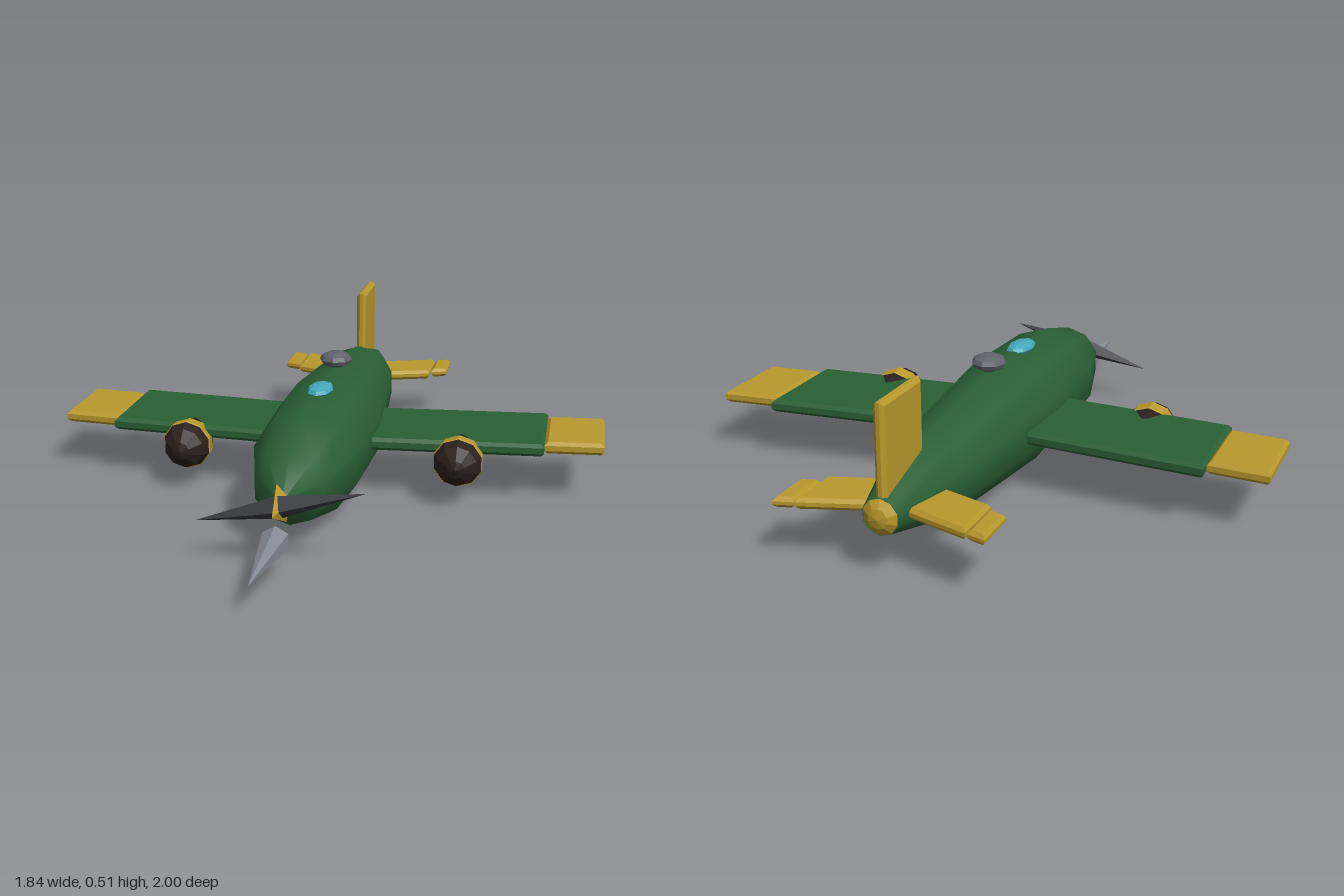
import * as THREE from 'three';

const mat = (color, flatShading = true) =>
  new THREE.MeshStandardMaterial({ color, flatShading, side: THREE.DoubleSide });

const green = mat(0x2a6035, false);
const greenFlat = mat(0x2a6035);
const gold = mat(0xb8982c);
const dark = mat(0x2b201d);
const steel = mat(0x3a3a42);
const grey = mat(0x60636c);
const silver = mat(0x868a95);
const glass = mat(0x45a9ba);

function add(parent, name, geometry, material, x = 0, y = 0, z = 0) {
  const mesh = new THREE.Mesh(geometry, material);
  mesh.name = name;
  mesh.position.set(x, y, z);
  parent.add(mesh);
  return mesh;
}

// Body of revolution along z, from [z, radius] pairs ordered back to front
function spindle(profile, sides) {
  const points = profile.map(([z, r]) => new THREE.Vector2(r, z));
  return new THREE.LatheGeometry(points, sides).rotateX(Math.PI / 2);
}

// Plate with chamfered edges, centred on its thickness
function plate(corners, thickness, bevel) {
  const shape = new THREE.Shape(corners.map(([a, b]) => new THREE.Vector2(a, b)));
  const depth = thickness - 2 * bevel;
  return new THREE.ExtrudeGeometry(shape, {
    depth, bevelThickness: bevel, bevelSize: bevel, bevelOffset: -bevel, bevelSegments: 1,
  }).translate(0, 0, -depth / 2);
}

// Horizontal swept panel: back and front z at the root and at the tip
function panel(side, x0, back0, front0, x1, back1, front1, thickness) {
  return plate([
    [side * x0, -back0], [side * x0, -front0], [side * x1, -front1], [side * x1, -back1],
  ], thickness, 0.011).rotateX(-Math.PI / 2);
}

export function createModel() {
  const model = new THREE.Group();
  model.name = 'airplane';
  const axisY = 0.19;

  // Fuselage and tail cap
  add(model, 'fuselage', spindle([
    [-0.97, 0.055], [-0.68, 0.135], [-0.1, 0.185], [0.28, 0.172], [0.5, 0.112], [0.597, 0],
  ], 10), green, 0, axisY, 0);
  add(model, 'tailCap', spindle([[-0.992, 0], [-0.985, 0.03], [-0.965, 0.056]], 10),
    gold, 0, axisY, 0);

  // Canopy and roof turret
  add(model, 'canopy', new THREE.SphereGeometry(1, 8, 6).scale(0.042, 0.02, 0.077),
    glass, 0, 0.367, 0.04);
  add(model, 'turret', new THREE.SphereGeometry(1, 8, 6).scale(0.056, 0.028, 0.056),
    grey, 0, 0.398, -0.228);

  // Upright tail fin
  add(model, 'tailFin', plate([
    [-0.965, 0.19], [-0.73, 0.19], [-0.73, 0.515], [-0.965, 0.515],
  ], 0.034, 0.011).rotateY(-Math.PI / 2), gold);

  // Propeller: one long faceted blade, tilted, and its spinner
  const propeller = new THREE.Group();
  propeller.name = 'propeller';
  propeller.position.set(0, axisY, 0.64);
  propeller.rotation.z = 0.235;
  add(propeller, 'blades', new THREE.OctahedronGeometry(1).scale(0.26, 0.035, 0.047), steel);
  add(propeller, 'spinner',
    new THREE.ConeGeometry(0.06, 0.12, 4).rotateX(Math.PI / 2).scale(0.5, 1, 1),
    gold, 0, 0, 0.025);
  model.add(propeller);

  // Nose spike
  add(model, 'noseSpike', new THREE.ConeGeometry(0.044, 0.315, 6).rotateX(Math.PI / 2),
    silver, 0, 0.107, 0.8425);

  for (const side of [1, -1]) {
    const label = side > 0 ? 'left' : 'right';

    // Wing with separate tip
    add(model, label + 'Wing',
      panel(side, 0.1, -0.3, 0.05, 0.727, -0.352, 0.004, 0.042), greenFlat, 0, axisY, 0);
    add(model, label + 'WingTip',
      panel(side, 0.727, -0.315, -0.028, 0.918, -0.331, -0.044, 0.04), gold, 0, axisY, 0);

    // Tailplane with separate tip
    add(model, label + 'Tailplane',
      panel(side, 0.02, -0.91, -0.735, 0.256, -0.985, -0.81, 0.034), gold, 0, axisY, 0);
    add(model, label + 'TailplaneTip',
      panel(side, 0.26, -0.984, -0.836, 0.318, -1, -0.852, 0.032), gold, 0, axisY, 0);

    // Engine under the wing: dark pod, gold band, gold exhaust
    const engine = new THREE.Group();
    engine.name = label + 'Engine';
    engine.position.set(side * 0.455, 0.15, 0);
    add(engine, 'enginePod', spindle([
      [-0.11, 0], [-0.1, 0.04], [-0.05, 0.064], [0.02, 0.078], [0.05, 0.081],
      [0.09, 0.067], [0.125, 0.03], [0.135, 0],
    ], 10), dark);
    add(engine, 'engineBand', spindle([[0.002, 0.077], [0.01, 0.08], [0.05, 0.083], [0.055, 0.08]], 10), gold);
    add(engine, 'exhaust', new THREE.CylinderGeometry(0.034, 0.026, 0.06, 8).rotateX(Math.PI / 2),
      gold, 0, 0, -0.108);
    model.add(engine);
  }

  return model;
}
